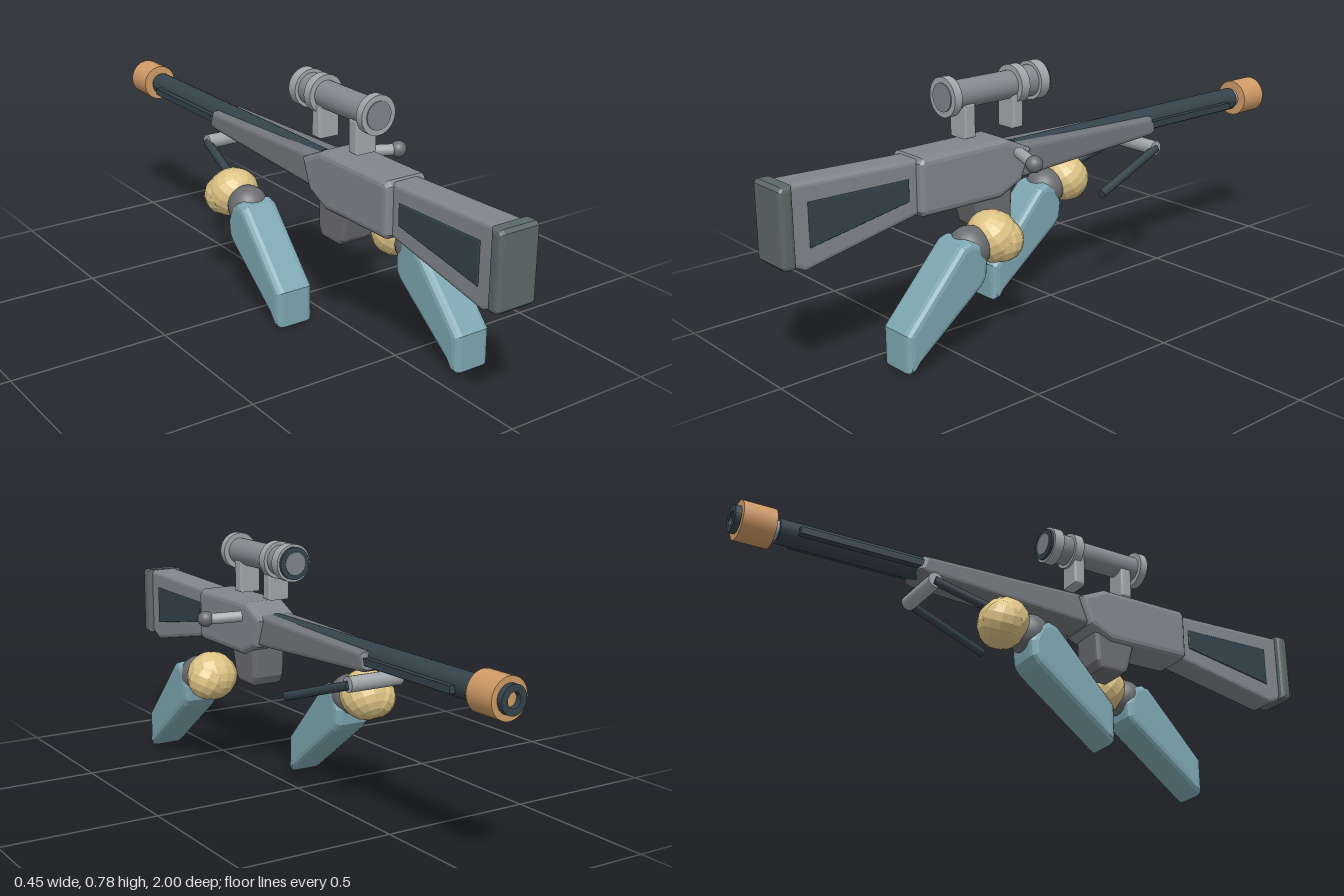
import * as THREE from 'three';

const mat = (color) => new THREE.MeshStandardMaterial({ color, side: THREE.DoubleSide });
const flat = (color) => {
  const m = mat(color);
  m.flatShading = true;
  return m;
};
const AXIS = -0.012; // centre line of the rifle in x
const BORE = 0.512; // height of the barrel

export function createModel() {
  const root = new THREE.Group();
  const body = mat(0x82868c), forendGrey = mat(0x74777c), dark = mat(0x34434b), pad = mat(0x5c6867);
  const light = mat(0xa0a6a9), steel = mat(0x858a8f), lens = mat(0x80848b), joint = mat(0x6b6c70);
  const teal = mat(0x7da6b1), gold = flat(0xdcc284), copper = mat(0xd09b66);

  const add = (name, geo, material, parent = root) => {
    const m = new THREE.Mesh(geo, material);
    m.name = name;
    parent.add(m);
    return m;
  };

  // Side profile of [z, y] points, given a width in x and rounded edges
  const profile = (name, pts, x, width, bevel, material, parent) => {
    const shape = new THREE.Shape(pts.map(([z, y]) => new THREE.Vector2(-z, y)));
    const geo = new THREE.ExtrudeGeometry(shape, {
      depth: width - 2 * bevel, bevelEnabled: bevel > 0, bevelThickness: bevel,
      bevelSize: bevel, bevelOffset: -bevel, bevelSegments: 3,
    });
    geo.translate(0, 0, -(width - 2 * bevel) / 2);
    geo.rotateY(Math.PI / 2);
    const m = add(name, geo, material, parent);
    m.position.x = x;
    return m;
  };

  // Cylinder along z between two depths
  const tubeZ = (name, z0, z1, r, y, material, r2 = r) => {
    const geo = new THREE.CylinderGeometry(r, r2, Math.abs(z0 - z1), 28);
    geo.rotateX(Math.PI / 2);
    const m = add(name, geo, material);
    m.position.set(AXIS, y, (z0 + z1) / 2);
    return m;
  };

  // Cylinder between two points
  const rod = (name, a, b, r, material, parent) => {
    const p = new THREE.Vector3(...a), q = new THREE.Vector3(...b);
    const m = add(name, new THREE.CylinderGeometry(r, r, p.distanceTo(q), 16), material, parent);
    m.position.copy(p).lerp(q, 0.5);
    m.quaternion.setFromUnitVectors(new THREE.Vector3(0, 1, 0), q.sub(p).normalize());
    return m;
  };

  const ball = (name, x, y, z, r, material, parent, w = 20, h = 14) => {
    const m = add(name, new THREE.SphereGeometry(r, w, h), material, parent);
    m.position.set(x, y, z);
    return m;
  };

  // Stock with side panels and butt pad
  profile('stock', [[0.97, 0.36], [0.92, 0.335], [0.53, 0.412], [0.53, 0.574], [0.97, 0.588]], AXIS, 0.1, 0.014, body);
  profile('stockPanels', [[0.905, 0.4], [0.575, 0.458], [0.575, 0.524], [0.905, 0.53]], AXIS, 0.108, 0.003, dark);
  profile('buttPad', [[1, 0.365], [0.99, 0.355], [0.957, 0.355], [0.957, 0.59], [0.99, 0.59], [1, 0.58]], AXIS, 0.138, 0.014, pad);

  // Receiver, magazine and fore-end
  profile('receiver', [[0.548, 0.42], [0.535, 0.405], [0.25, 0.402], [0.165, 0.44], [0.128, 0.535],
    [0.225, 0.58], [0.535, 0.58], [0.548, 0.565]], AXIS, 0.147, 0.02, body);
  profile('magazine', [[0.35, 0.43], [0.32, 0.32], [0.3, 0.302], [0.215, 0.302], [0.2, 0.33], [0.195, 0.43]], AXIS, 0.118, 0.014, joint);
  profile('foreEnd', [[0.2, 0.442], [-0.41, 0.472], [-0.432, 0.482], [-0.415, 0.532], [0.2, 0.548]], AXIS, 0.12, 0.014, forendGrey);

  // Barrel with side ribs and muzzle
  tubeZ('barrel', 0.15, -0.865, 0.038, BORE, dark);
  const ribs = add('barrelRibs', new THREE.BoxGeometry(0.11, 0.022, 0.4), dark);
  ribs.position.set(AXIS, 0.505, -0.61);
  tubeZ('barrelNeck', -0.85, -0.9, 0.03, BORE, light);
  tubeZ('muzzleSleeve', -0.882, -0.982, 0.06, BORE, copper);
  const tip = add('muzzleTip', new THREE.LatheGeometry(
    [[0.022, 0], [0.022, 0.04], [0.042, 0.04], [0.042, 0]].map(([r, h]) => new THREE.Vector2(r, h)), 28), flat(0x34434b));
  tip.rotation.x = -Math.PI / 2;
  tip.position.set(AXIS, BORE, -0.96);

  // Scope: tube, rings, lenses and mounts
  const SY = 0.725;
  tubeZ('scopeTube', 0.405, 0.05, 0.043, SY, steel);
  tubeZ('scopeBell', 0.125, 0.07, 0.049, SY, steel);
  for (const [z0, z1] of [[0.41, 0.383], [0.157, 0.125], [0.08, 0.045]]) tubeZ('scopeRing', z0, z1, 0.06, SY, light);
  tubeZ('eyeLens', 0.4, 0.413, 0.043, SY, lens);
  tubeZ('frontLensRim', 0.05, 0.036, 0.052, SY, dark);
  tubeZ('frontLens', 0.05, 0.034, 0.036, SY, lens);
  for (const z of [0.337, 0.153]) {
    profile('scopeMount', [[z - 0.02, 0.596], [z - 0.02, 0.7], [z + 0.02, 0.7], [z + 0.02, 0.596]], AXIS, 0.075, 0.007, light);
  }

  // Bolt handle
  rod('boltHandle', [0.087, 0.541, 0.205], [0.195, 0.536, 0.242], 0.018, light);
  ball('boltKnob', 0.197, 0.537, 0.243, 0.026, joint);

  // Hinge pin and folded bipod struts
  rod('bipodHinge', [-0.103, 0.438, -0.395], [0.08, 0.438, -0.395], 0.024, light);
  for (const s of [-1, 1]) {
    rod('bipodStrut', [AXIS + s * 0.088, 0.436, -0.398], [AXIS + s * 0.125, 0.348, -0.115], 0.014, dark);
  }

  // Two gripping forearms, each with hand, wrist and sleeve
  for (const [side, x, dz, dy] of [['left', 0.124, 0, 0], ['right', -0.135, -0.524, 0.013]]) {
    const arm = new THREE.Group();
    arm.name = side + 'Arm';
    arm.position.set(x, 0, dz);
    root.add(arm);
    profile('sleeve', [[0.7, 0.01], [0.69, 0.002], [0.43, 0.2], [0.41, 0.225], [0.405, 0.275],
      [0.43, 0.335], [0.47, 0.35], [0.5, 0.342], [0.7, 0.125]], 0, 0.128, 0.022, teal, arm);
    ball('wrist', 0, 0.308 + dy * 0.7, 0.43, 0.065, joint, arm);
    const hand = ball('hand', 0, 0.322 + dy, 0.342, 0.081, gold, arm, 14, 10);
    hand.scale.set(1.06, 1, 0.96);
    hand.rotation.x = 0.6;
    // Thumb bulging over the outer side of the hand
    const thumb = ball('thumb', Math.sign(x) * 0.024, 0.313 + dy, 0.327, 0.066, gold, arm, 12, 8);
    thumb.rotation.z = 0.5;
  }

  return root;
}
